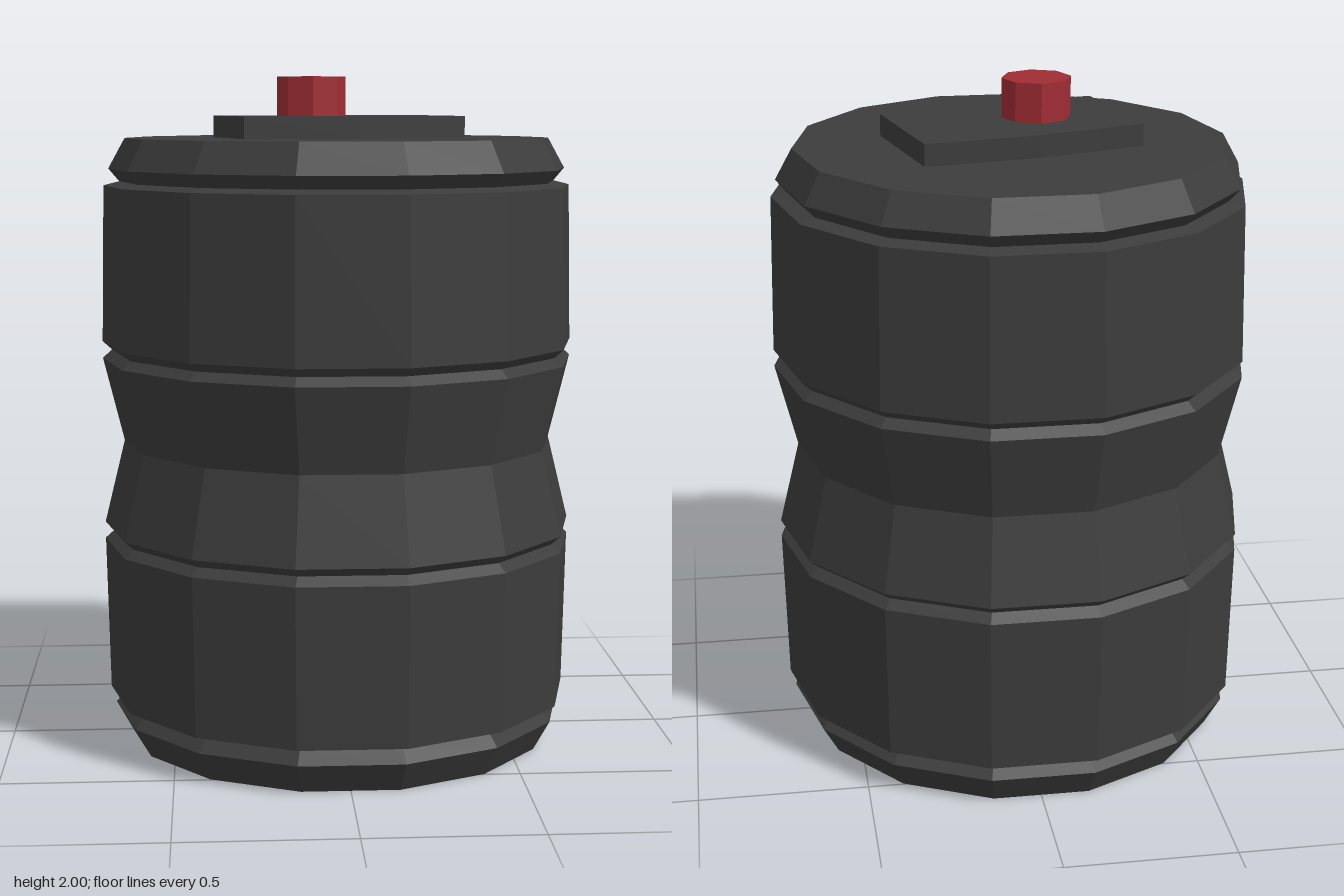
import * as THREE from 'three';

const flat = (name, color) => {
  const m = new THREE.MeshStandardMaterial({ color, flatShading: true });
  m.name = name;
  return m;
};

export function createModel() {
  const model = new THREE.Group();
  const rubber = flat('charcoal', 0x3c3c3c);
  const red = flat('red', 0xa02c34);

  const add = (name, geometry, material) => {
    const mesh = new THREE.Mesh(geometry, material);
    mesh.name = name;
    model.add(mesh);
    return mesh;
  };

  // Grooved body: lower half profile [radius, height], mirrored about the waist
  const waist = 0.91;
  const lower = [
    [0, 0], [0.635, 0], [0.685, 0.09], [0.653, 0.128], [0.7, 0.14],
    [0.71, 0.608], [0.682, 0.633], [0.71, 0.658],
  ];
  const upper = lower.map(([r, y]) => [r, 2 * waist - y]).reverse();
  const profile = [...lower, [0.648, waist], ...upper].map(([r, y]) => new THREE.Vector2(r, y));
  add('body', new THREE.LatheGeometry(profile, 14, Math.PI / 2), rubber);

  // Slightly bent mounting plate on the lid, corners as [x, z]
  const corners = [
    [-0.284, 0.265], [0.05, 0.21], [0.368, 0.118],
    [0.28, -0.27], [-0.055, -0.214], [-0.37, -0.12],
  ];
  const outline = new THREE.Shape(corners.map(([x, z]) => new THREE.Vector2(x, -z)));
  const plate = new THREE.ExtrudeGeometry(outline, { depth: 0.065, bevelEnabled: false });
  plate.rotateX(-Math.PI / 2);
  add('topPlate', plate, rubber).position.y = 2 * waist;

  // Off-centre octagonal button
  const button = new THREE.CylinderGeometry(0.102, 0.102, 0.115, 8);
  add('button', button, red).position.set(-0.08, 1.9425, 0.026);

  return model;
}
